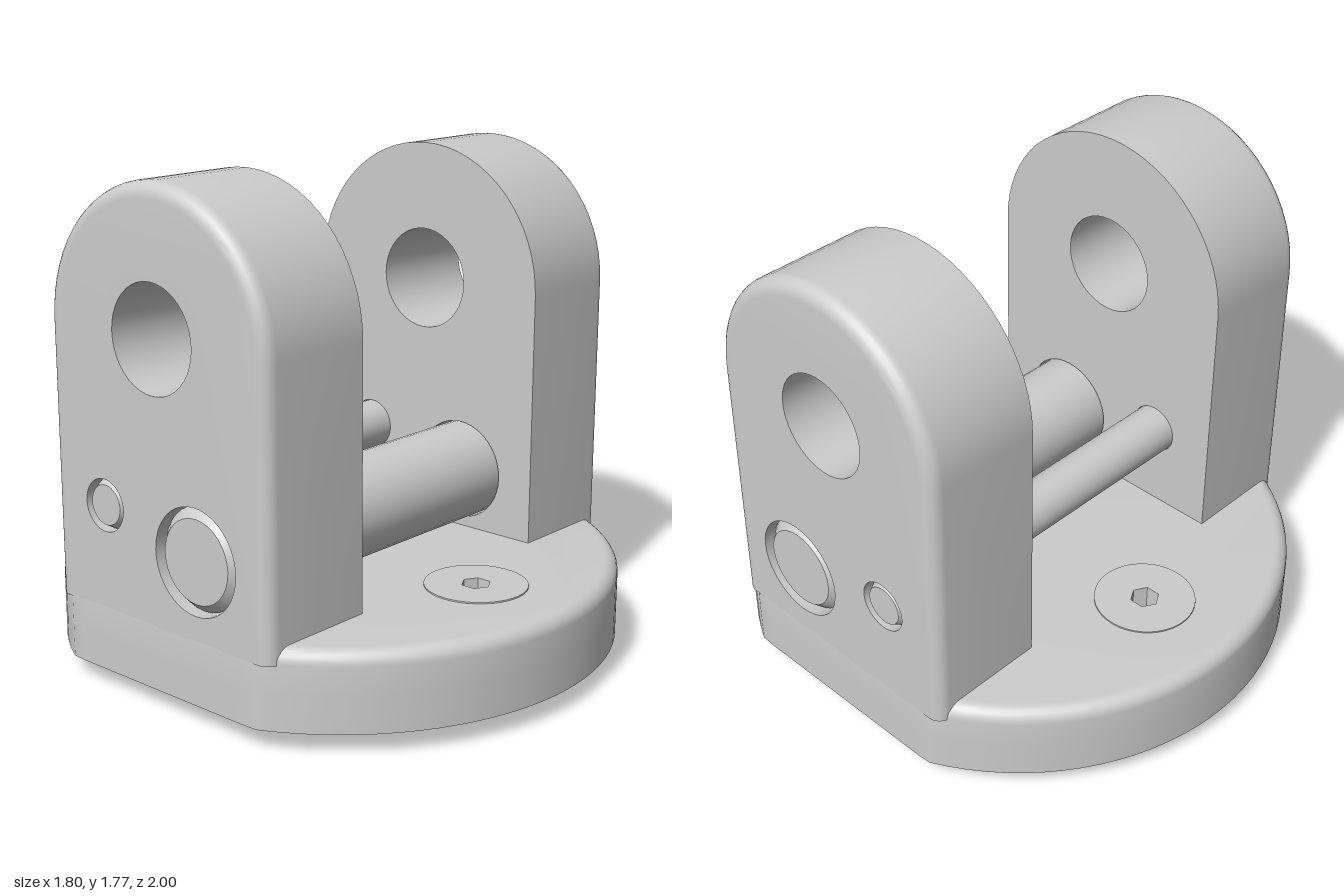
import * as THREE from 'three';
import { mergeGeometries, toCreasedNormals } from 'three/addons/utils/BufferGeometryUtils.js';

const material = new THREE.MeshStandardMaterial({ color: 0xcccccc });

function addMesh(parent, name, geometry) {
  const mesh = new THREE.Mesh(geometry, material);
  mesh.name = name;
  parent.add(mesh);
  return mesh;
}

// Counter-clockwise ring of points
function ring(cx, cy, r, n = 40) {
  return Array.from({ length: n }, (_, i) => {
    const a = (i / n) * Math.PI * 2;
    return new THREE.Vector2(cx + r * Math.cos(a), cy + r * Math.sin(a));
  });
}

// Wall between consecutive levels [points, z]
function wall(levels) {
  const n = levels[0][0].length, position = [], index = [];
  levels.forEach(([pts, z], k) => pts.forEach((p, i) => {
    position.push(p.x, p.y, z);
    if (k === 0) return;
    const a = (k - 1) * n + i, b = (k - 1) * n + (i + 1) % n;
    index.push(a, b, b + n, a, b + n, a + n);
  }));
  const g = new THREE.BufferGeometry();
  g.setAttribute('position', new THREE.Float32BufferAttribute(position, 3));
  g.setIndex(index);
  return g;
}

function cap(pts, holes, z, flip) {
  const shape = new THREE.Shape(pts);
  shape.holes = holes.map((h) => new THREE.Path(h));
  const g = new THREE.ShapeGeometry(shape).translate(0, 0, z);
  if (flip) g.setIndex(Array.from(g.index.array).reverse());
  return g;
}

// Plate along z with holes and a rounded outer edge on its far face.
// outline(inset) returns the contour moved inwards by inset.
function plate(outline, holes, z0, z1, fillet = 0) {
  const levels = [[outline(0), z0]];
  const steps = fillet ? 6 : 0;
  for (let i = 0; i <= steps; i++) {
    const a = steps ? (i / steps) * Math.PI / 2 : 0;
    levels.push([outline(fillet * (1 - Math.cos(a))), z1 - fillet * (1 - Math.sin(a))]);
  }
  const parts = [
    wall(levels),
    cap(outline(0), holes, z0, true),
    cap(outline(fillet), holes, z1, false),
    ...holes.map((h) => {
      const inner = [...h].reverse();
      return wall([[inner, z0], [inner, z1]]);
    }),
  ].map((g) => {
    const flat = g.toNonIndexed();
    flat.deleteAttribute('uv');
    flat.deleteAttribute('normal');
    return flat;
  });
  return toCreasedNormals(mergeGeometries(parts), 0.5);
}

// Disc with two flats
const baseOutline = (inset) => ring(0, 0, 1 - inset, 96).map((p) => {
  p.x = THREE.MathUtils.clamp(p.x, -0.9 + inset, 0.9 - inset);
  return p;
});

// Round-topped upright
function uprightOutline(inset) {
  const r = 0.505 - inset, pts = [new THREE.Vector2(r, 0.3)];
  for (let i = 0; i <= 32; i++) {
    const a = (i / 32) * Math.PI;
    pts.push(new THREE.Vector2(r * Math.cos(a), 1.27 + r * Math.sin(a)));
  }
  pts.push(new THREE.Vector2(-r, 0.3));
  return pts;
}

// Segment-shaped pocket under the base
function pocket(side) {
  const half = Math.acos(0.3 / 0.85);
  return Array.from({ length: 33 }, (_, i) => {
    const a = -half + (i / 32) * 2 * half;
    return new THREE.Vector2(side * Math.min(0.75, 0.85 * Math.cos(a)), side * 0.85 * Math.sin(a));
  });
}

// Cross pin with chamfered ends, lying along x
function pin(r, endR) {
  const profile = [[0, -0.895], [endR, -0.895], [r, -0.86], [r, 0.86], [endR, 0.895], [0, 0.895]]
    .map(([x, y]) => new THREE.Vector2(x, y));
  const g = new THREE.LatheGeometry(profile, 32);
  return toCreasedNormals(g, 0.5).rotateZ(Math.PI / 2);
}

// Threaded screw tip: radius follows a triangular helix
function thread() {
  const g = new THREE.CylinderGeometry(0.08, 0.08, 0.1, 32, 24).translate(0, 0.05, 0);
  const p = g.attributes.position;
  for (let i = 0; i < p.count; i++) {
    const x = p.getX(i), y = p.getY(i), z = p.getZ(i);
    if (Math.hypot(x, z) < 0.01) continue;
    const phase = y / 0.045 + Math.atan2(z, x) / (2 * Math.PI) + 2;
    const k = (0.055 + 0.05 * Math.abs((phase % 1) - 0.5)) / 0.08;
    p.setXYZ(i, x * k, y, z * k);
  }
  return toCreasedNormals(g, 0.6);
}

export function createModel() {
  const model = new THREE.Group();
  model.name = 'clevisMount';
  const screwZ = [0.62, -0.62];

  // Base in two layers: pockets below, screw seats above
  const base = new THREE.Group();
  base.name = 'base';
  model.add(base);
  const centreHole = ring(0, 0, 0.085);
  addMesh(base, 'baseLower', plate(baseOutline, [centreHole, pocket(1), pocket(-1)], 0.075, 0.195)
    .rotateX(-Math.PI / 2));
  addMesh(base, 'baseUpper', plate(baseOutline, [centreHole, ...screwZ.map((z) => ring(0, -z, 0.18))],
    0.195, 0.355, 0.05).rotateX(-Math.PI / 2));

  // Uprights with the main bore and pin holes
  for (const s of [1, -1]) {
    const holes = [
      ring(0, 1.275, 0.185),
      ring(-s * 0.18, 0.573, 0.184),
      ring(s * 0.25, 0.67, 0.092),
    ];
    addMesh(model, s > 0 ? 'leftUpright' : 'rightUpright',
      plate(uprightOutline, holes, 0.46, 0.9, 0.05).rotateY(s * Math.PI / 2));
  }

  // Cross pins
  addMesh(model, 'largePin', pin(0.178, 0.145)).position.set(0, 0.573, 0.18);
  addMesh(model, 'smallPin', pin(0.09, 0.07)).position.set(0, 0.67, -0.25);

  // Screws with hexagonal sockets
  for (const z of screwZ) {
    const screw = new THREE.Group();
    screw.name = 'screw';
    screw.position.z = z;
    model.add(screw);
    addMesh(screw, 'screwHead', plate((inset) => ring(0, 0, 0.18 - inset), [ring(0, 0, 0.052, 6)],
      0.195, 0.36).rotateX(-Math.PI / 2).rotateY(Math.PI / 6));
    addMesh(screw, 'screwThread', thread());
  }
  return model;
}
